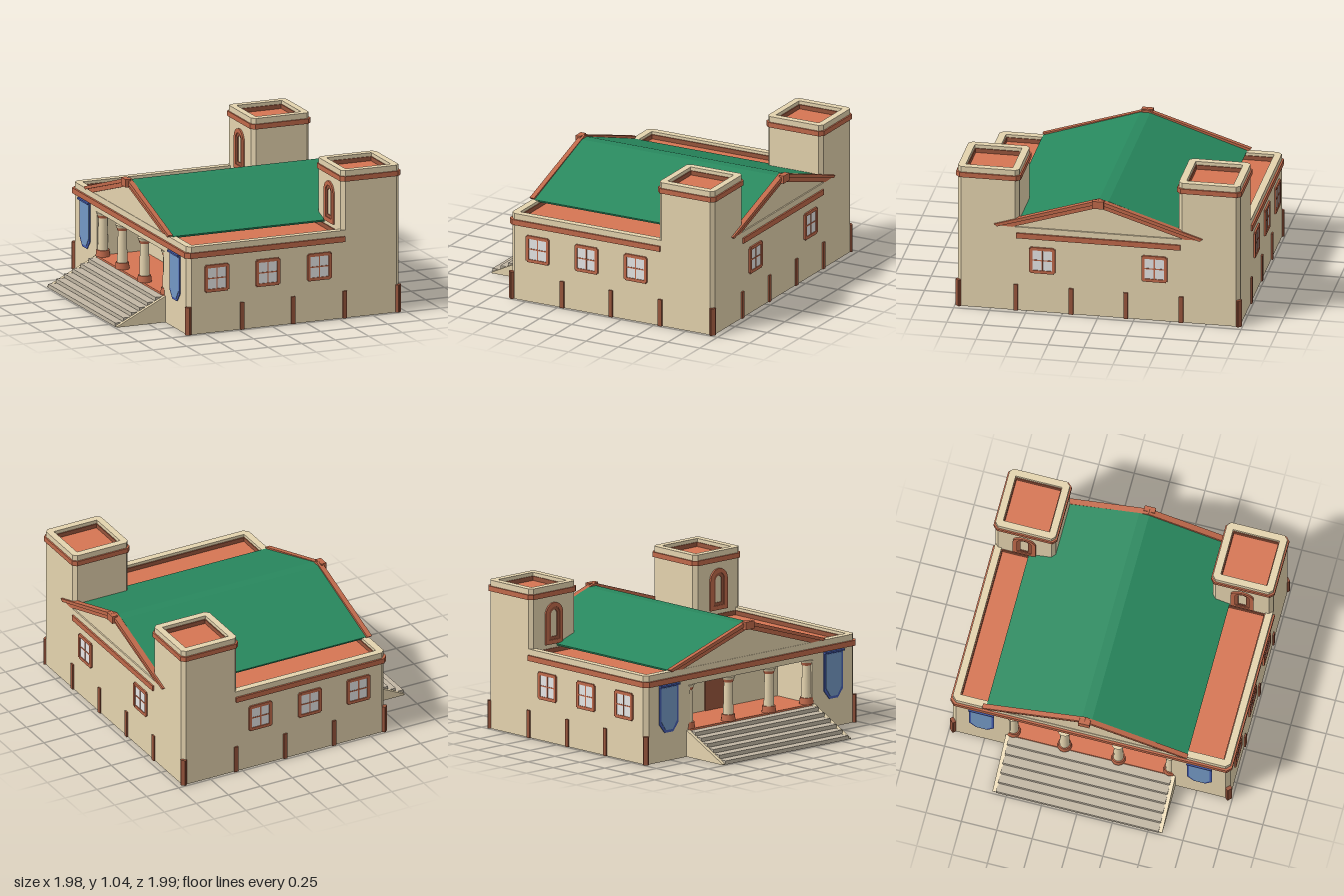
import * as THREE from 'three';

const mat = (name, hex) => {
  const m = new THREE.MeshStandardMaterial({ color: hex });
  m.name = name;
  return m;
};

export function createModel() {
  const root = new THREE.Group();
  const tan = mat('sandstone', 0xe4d3ae);
  const clay = mat('terracotta trim', 0xc0694a);
  const tile = mat('terracotta floor', 0xd67553);
  const brown = mat('brown pilaster', 0x98553c);
  const green = mat('green roof', 0x28885e);
  const stone = mat('step stone', 0xc2b7a4);
  const glass = mat('window pane', 0xe6e6e6);
  const blue = mat('banner blue', 0x7398c4);
  const navy = mat('banner border', 0x465eb0);

  const add = (name, geo, m, parent = root) => {
    const mesh = new THREE.Mesh(geo, m);
    mesh.name = name;
    parent.add(mesh);
    return mesh;
  };
  // axis-aligned box from its limits
  const box = (name, m, x0, x1, y0, y1, z0, z1, parent = root) => {
    const b = add(name, new THREE.BoxGeometry(x1 - x0, y1 - y0, z1 - z0), m, parent);
    b.position.set((x0 + x1) / 2, (y0 + y1) / 2, (z0 + z1) / 2);
  };
  // closed shape, always counter-clockwise
  const toShape = (pts) => {
    const v = pts.map(([a, b]) => new THREE.Vector2(a, b));
    return new THREE.Shape(THREE.ShapeUtils.isClockWise(v) ? v.reverse() : v);
  };
  const extrude = (shape, depth) => new THREE.ExtrudeGeometry(shape, { depth, bevelEnabled: false, curveSegments: 10 });
  // plan outline (x, z) raised from y0 to y1
  const slab = (name, m, pts, y0, y1, hole) => {
    const flip = (p) => p.map(([x, z]) => [x, -z]);
    const s = toShape(flip(pts));
    if (hole) s.holes.push(toShape(flip(hole)));
    const g = extrude(s, y1 - y0);
    g.rotateX(-Math.PI / 2).translate(0, y0, 0);
    add(name, g, m);
  };
  // half outline (z, y) mirrored about zc and swept along x
  const prism = (name, m, half, x0, x1, zc = 0) => {
    const other = half.filter(([z]) => z > 0).map(([z, y]) => [-z, y]).reverse();
    const g = extrude(toShape([...half, ...other]), x1 - x0);
    g.rotateY(Math.PI / 2).translate(x0, 0, zc);
    add(name, g, m);
  };
  // rectangle with cut corners
  const cut = (x0, x1, z0, z1, c) => [[x0 + c, z0], [x1 - c, z0], [x1, z0 + c], [x1, z1 - c],
    [x1 - c, z1], [x0 + c, z1], [x0, z1 - c], [x0, z0 + c]];
  const rect = (x0, x1, z0, z1) => [[x0, z0], [x1, z0], [x1, z1], [x0, z1]];
  const mirrorZ = (half) => [...half, ...half.map(([x, z]) => [x, -z]).reverse()];

  const X0 = -0.625, X1 = 0.957, Z = 0.982, PX = -0.28, PZ = 0.57;

  // main walls, notched round the porch, with a plain ring above
  slab('lowerWalls', tan,
    mirrorZ([[PX, PZ], [X0, PZ], [X0, Z - 0.03], [X0 + 0.03, Z], [X1 - 0.03, Z], [X1, Z - 0.03]]), 0, 0.5,
    mirrorZ([[PX + 0.05, PZ + 0.05], [X0 + 0.05, PZ + 0.05], [X0 + 0.05, Z - 0.05], [X1 - 0.05, Z - 0.05]]));
  slab('parapet', tan, cut(X0, X1, -Z, Z, 0.03), 0.5, 0.62, rect(X0 + 0.05, X1 - 0.05, -Z + 0.05, Z - 0.05));
  slab('parapetInnerRail', brown, rect(X0 + 0.049, 0.53, -0.933, 0.933), 0.57, 0.6,
    rect(X0 + 0.056, 0.52, -0.924, 0.924));

  // ground floor and flat side roofs stop short of the hollow towers
  const deck = (x0) => mirrorZ([[x0, 0.6], [X0 + 0.04, 0.6], [X0 + 0.04, 0.94], [0.54, 0.94], [0.54, 0.57], [0.92, 0.57]]);
  slab('floor', tile, deck(X0), 0.165, 0.19);
  slab('flatRoof', tile, deck(X0 + 0.04), 0.55, 0.57);

  // string course
  slab('wallBand', clay, mirrorZ([[0.545, Z - 0.02], [0.545, 0.995], [-0.608, 0.995], [-0.64, 0.963]])
    .concat(mirrorZ([[-0.61, -0.94], [-0.59, -0.962]])), 0.54, 0.578);
  box('rearBand', clay, 0.93, 0.969, 0.54, 0.578, -0.57, 0.57);

  // towers
  for (const s of [1, -1]) {
    const za = s > 0 ? 0.555 : -Z, zb = s > 0 ? Z : -0.555;
    const zi = [za + 0.05, zb - 0.05];
    slab('towerWalls', tan, cut(0.527, X1, za, zb, 0.025), 0, 1.04, rect(0.574, 0.909, ...zi));
    slab('towerBand', clay, cut(0.517, 0.968, za - 0.011, zb + 0.011, 0.028), 0.965, 1.0,
      cut(0.532, 0.952, za + 0.005, zb - 0.005, 0.025));
    slab('towerRoof', tile, rect(0.567, 0.916, za + 0.04, zb - 0.04), 0.96, 0.985);
    slab('towerRoofRail', brown, rect(0.573, 0.91, zi[0] - 0.001, zi[1] + 0.001), 0.985, 1.015,
      rect(0.581, 0.902, zi[0] + 0.007, zi[1] - 0.007));

    // arched tower window facing the entrance side
    const arch = (r, y0, hole) => {
      const outline = (w, b) => new THREE.Shape().moveTo(-w, b).lineTo(w, b).lineTo(w, 0.84).absarc(0, 0.84, w, 0, Math.PI, false);
      const a = outline(r, y0);
      a.holes.push(outline(hole, y0 + r - hole));
      return a;
    };
    const w = new THREE.Group();
    w.name = 'towerWindow';
    add('archFrame', extrude(arch(0.08, 0.63, 0.05), 0.013), clay, w);
    add('archInnerFrame', extrude(arch(0.052, 0.658, 0.028), 0.007), brown, w);
    w.rotation.y = -Math.PI / 2;
    w.position.set(0.528, 0, s * 0.77);
    root.add(w);
  }

  // base pilasters and corner guards
  for (const s of [1, -1]) {
    const zs = s > 0 ? [0.97, 0.993] : [-0.993, -0.97];
    for (const x of [-0.22, 0.16, 0.545]) box('pilaster', brown, x - 0.015, x + 0.015, 0, 0.193, ...zs);
    for (const z of [0.19 * s, 0.575 * s]) {
      box('rearPilaster', brown, 0.94, 0.968, 0, 0.193, z - 0.015, z + 0.015);
      box('porchPilaster', brown, PX - 0.005, PX + 0.06, 0, 0.163, z * 0.97 - 0.015, z * 0.97 + 0.015);
    }
    for (const [a, b] of [[-0.64, -0.59], [0.918, 0.969]])
      slab('cornerGuard', brown, cut(a, b, s > 0 ? 0.945 : -0.996, s > 0 ? 0.996 : -0.945, 0.022), 0, 0.195);
  }

  // four-pane windows with notched frame corners
  const addWindow = (x, z, turn) => {
    const w = new THREE.Group();
    w.name = 'window';
    box('panes', glass, -0.075, 0.075, 0.305, 0.465, 0, 0.006, w);
    for (const s of [-1, 1]) {
      box('frameSide', clay, s * 0.079 - 0.011, s * 0.079 + 0.011, 0.298, 0.472, 0, 0.0125, w);
      box('frameRail', clay, -0.081, 0.081, 0.385 + s * 0.085 - 0.011, 0.385 + s * 0.085 + 0.011, 0, 0.012, w);
    }
    box('mullion', clay, -0.004, 0.004, 0.3, 0.47, 0, 0.01, w);
    box('crossbar', clay, -0.068, 0.068, 0.381, 0.389, 0, 0.009, w);
    w.position.set(x, 0, z);
    w.rotation.y = turn;
    root.add(w);
  };
  for (const x of [-0.41, -0.03, 0.355]) {
    addWindow(x, Z, 0);
    addWindow(x, -Z, Math.PI);
  }
  for (const z of [0.39, -0.39]) addWindow(X1, z, Math.PI / 2);

  // pitched roof, gable walls and their clay trims
  prism('pitchedRoof', green, [[0.035, 0.849], [0.71, 0.623], [0.705, 0.61], [0, 0.832]], -0.605, 0.93, -0.03);
  for (const [a, b, c, d, e, zc] of [[0.925, 0.947, 0.93, 0.971, 0.961, 0], [-0.622, -0.602, -0.64, -0.605, -0.63, -0.04]]) {
    prism('gableWall', tan, [[0, 0.825], [0.63, 0.62], [0.63, 0.6]], a, b, zc);
    prism('gableTrimUpper', clay, [[0, 0.868], [0.725, 0.634], [0.705, 0.618], [0, 0.84]], c, d, zc);
    prism('gableTrimLower', clay, [[0, 0.841], [0.69, 0.623], [0.6, 0.62], [0, 0.81]],
      zc ? e : c, zc ? d : e, zc);
  }
  box('rearRidgeBlock', clay, 0.95, 0.988, 0.812, 0.867, -0.04, 0.04);
  box('frontRidgeBlock', clay, -0.66, -0.62, 0.812, 0.867, -0.08, 0);

  // porch columns, the outer pair set slightly back, and door
  for (const z of [-0.555, -0.19, 0.19, 0.555]) {
    const col = new THREE.Group();
    col.name = 'column';
    const drum = (name, m, r0, r1, y0, y1) => {
      add(name, new THREE.CylinderGeometry(r1, r0, y1 - y0, 16), m, col).position.y = (y0 + y1) / 2;
    };
    drum('columnBase', clay, 0.05, 0.045, 0.19, 0.235);
    drum('shaft', tan, 0.036, 0.03, 0.235, 0.46);
    drum('capitalRing', clay, 0.033, 0.04, 0.46, 0.48);
    drum('capital', tan, 0.04, 0.048, 0.48, 0.5);
    col.position.set(Math.abs(z) > 0.3 ? -0.588 : -0.602, 0, z);
    root.add(col);
  }
  box('door', brown, PX - 0.008, PX, 0.19, 0.44, -0.11, 0.11);

  // entrance steps between sloping cheeks, solid underneath
  for (let i = 0; i < 6; i++) {
    const x = -0.988 + i * 0.06;
    box('step', stone, x, -0.61, i * 0.03, 0.027 + i * 0.03, -0.575, 0.575);
  }
  box('stepCore', stone, -0.985, -0.6, 0.001, 0.02, -0.575, 0.575);
  box('stepBack', stone, -0.62, -0.6, 0.001, 0.165, -0.575, 0.575);
  for (const z of [0.57, -0.6]) {
    const g = extrude(toShape([[-0.985, 0], [-0.62, 0], [-0.62, 0.187], [-0.985, 0.006]]), 0.03);
    g.translate(0, 0, z);
    add('stepCheek', g, tan);
  }

  // hanging banners with pointed ends
  for (const s of [1, -1]) {
    const flag = (w, y0, y1) => toShape([[-w, y1], [-w, y0 + 0.06], [-w * 0.45, y0], [w * 0.45, y0], [w, y0 + 0.06], [w, y1]]);
    const b = new THREE.Group();
    b.name = 'banner';
    add('bannerBorder', extrude(flag(0.088, 0.2, 0.525), 0.006), navy, b);
    add('bannerField', extrude(flag(0.072, 0.218, 0.515), 0.009), blue, b);
    box('bannerRod', navy, -0.09, 0.09, 0.524, 0.535, 0, 0.024, b);
    b.rotation.y = -Math.PI / 2;
    b.position.set(X0, 0, s * 0.77);
    root.add(b);
  }
  return root;
}
